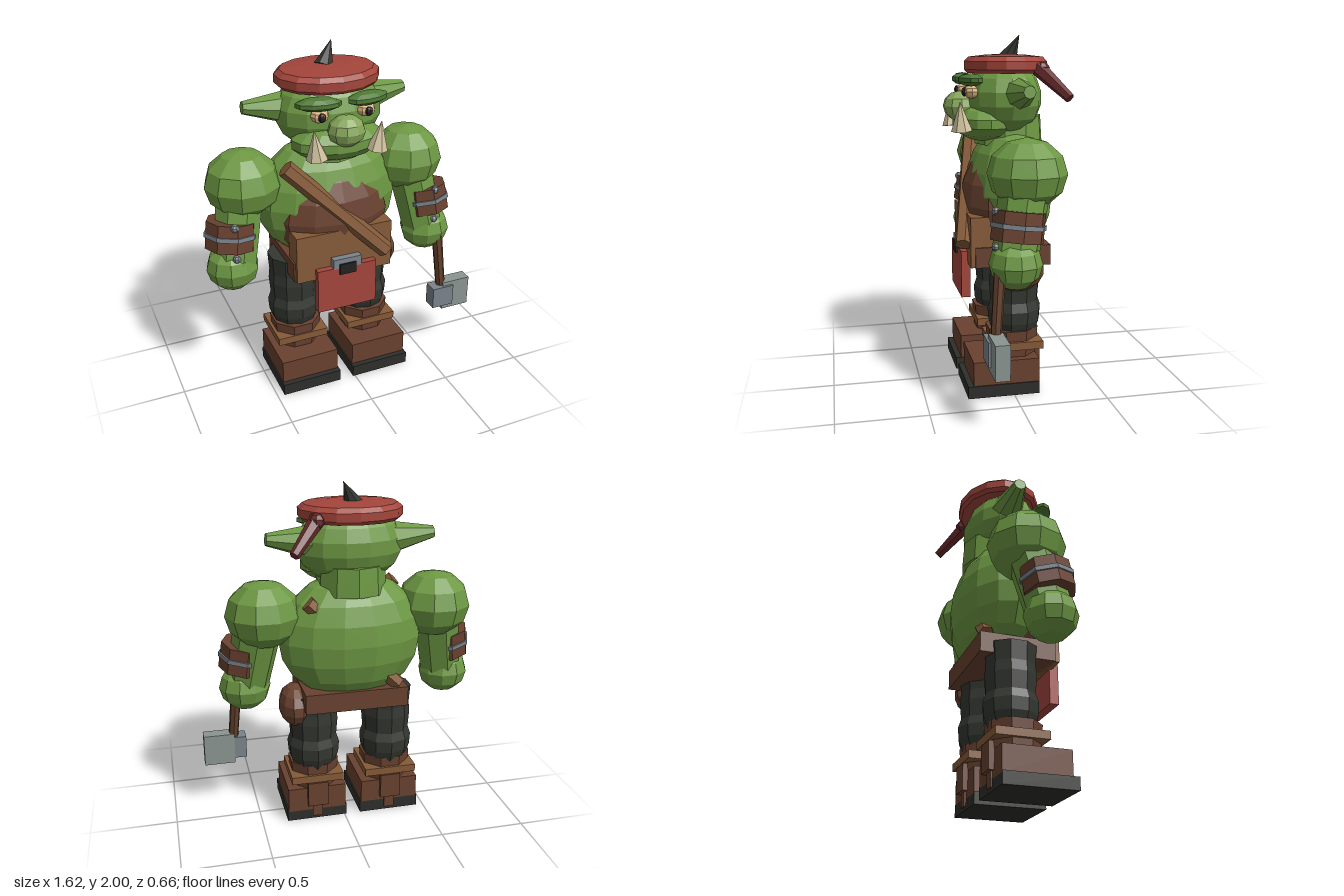
import * as THREE from 'three';

const mat = (color) => new THREE.MeshStandardMaterial({ color, flatShading: true });
const M = {
  skin: mat(0x6d9843), brow: mat(0x4f7a35), nose: mat(0x86a65a), dark: mat(0x343731),
  brown: mat(0x69412f), hide: mat(0x6b4331), tan: mat(0x855a38), wood: mat(0x63402c),
  red: mat(0xa3453b), darkRed: mat(0x692a2b), bone: mat(0xd2c3a0), eye: mat(0xd9b27c),
  black: mat(0x222222), sole: mat(0x2e2e2b), steel: mat(0x7b838b), iron: mat(0x8b9591),
};

export function createModel() {
  const root = new THREE.Group();
  root.name = 'ogreWarrior';
  const body = new THREE.Group();
  body.name = 'body';
  body.position.x = -0.055;
  root.add(body);

  const add = (name, geo, material, p = [0, 0, 0], r = [0, 0, 0]) => {
    const m = new THREE.Mesh(geo, material);
    m.name = name;
    m.position.set(...p);
    m.rotation.set(...r);
    body.add(m);
    return m;
  };
  const ball = (name, material, p, s, ws = 10, hs = 6, r) =>
    add(name, new THREE.SphereGeometry(1, ws, hs).scale(...s), material, p, r);
  // Box given by its lower and upper corners
  const box = (name, material, a, b) =>
    add(name, new THREE.BoxGeometry(b[0] - a[0], b[1] - a[1], b[2] - a[2]), material,
      a.map((v, i) => (v + b[i]) / 2));
  // Tapered rod from point a (radius ra) to point b (radius rb)
  const rod = (name, material, a, b, ra, rb, sides = 8) => {
    const A = new THREE.Vector3(...a), B = new THREE.Vector3(...b);
    const d = B.clone().sub(A);
    const m = add(name, new THREE.CylinderGeometry(rb, ra, d.length(), sides), material,
      A.clone().add(B).multiplyScalar(0.5).toArray());
    m.quaternion.setFromUnitVectors(new THREE.Vector3(0, 1, 0), d.normalize());
    return m;
  };
  const lathe = (pts, sides) =>
    new THREE.LatheGeometry(pts.map(([x, y]) => new THREE.Vector2(x, y)), sides);

  // Torso, chest hide and neck
  ball('torso', M.skin, [0, 1.12, -0.05], [0.42, 0.38, 0.245], 14, 10);
  ball('chestHide', M.hide, [0, 1.05, 0.02], [0.345, 0.32, 0.215], 12, 8);
  add('neck', new THREE.CylinderGeometry(0.19, 0.2, 0.16, 10), M.skin, [0, 1.47, -0.05]);

  // Belt, apron, loincloth and buckle
  box('belt', M.brown, [-0.3, 0.725, -0.23], [0.3, 0.84, 0.2]);
  box('apron', M.tan, [-0.29, 0.725, 0.1], [0.29, 1.01, 0.225]);
  box('loincloth', M.red, [-0.18, 0.525, 0.21], [0.18, 0.795, 0.262]);
  box('buckle', M.steel, [-0.085, 0.79, 0.2], [0.085, 0.85, 0.265]);
  box('buckleTongue', M.black, [-0.05, 0.755, 0.22], [0.05, 0.82, 0.275]);
  ball('pouch', M.hide, [0.33, 0.715, -0.035], [0.095, 0.125, 0.15], 10, 7);

  // Shoulder straps across chest and back
  rod('chestStrap', M.tan, [-0.305, 1.395, 0.12], [0.24, 0.85, 0.26], 0.05, 0.05, 6);
  rod('backStrap', M.tan, [0.27, 1.36, -0.16], [-0.25, 0.85, -0.18], 0.045, 0.045, 6);

  // Head and jaw
  ball('head', M.skin, [0, 1.65, -0.015], [0.305, 0.225, 0.22], 14, 9);
  ball('jaw', M.skin, [0, 1.515, 0.1], [0.265, 0.11, 0.175], 14, 7);
  ball('nose', M.nose, [0, 1.605, 0.235], [0.105, 0.085, 0.095], 10, 6);

  // Cap with spike and knotted tail
  add('cap', lathe([[0, 1.785], [0.93, 1.79], [1, 1.81], [1, 1.855], [0.9, 1.88], [0.45, 1.892], [0, 1.895]], 14)
    .scale(0.293, 1, 0.237), M.red, [0, 0, -0.03]);
  rod('capSpike', M.dark, [-0.01, 1.875, -0.05], [0.055, 2, -0.1], 0.055, 0.001, 7);
  rod('capTail', M.darkRed, [0.21, 1.82, -0.17], [0.365, 1.66, -0.31], 0.045, 0.027, 6);
  ball('capKnot', M.darkRed, [0.22, 1.81, -0.19], [0.045, 0.045, 0.045], 7, 5);

  for (const s of [-1, 1]) {
    // Face
    rod('ear', M.skin, [s * 0.2, 1.675, -0.05], [s * 0.475, 1.7, -0.06], 0.1, 0.035, 8);
    ball('eye', M.eye, [s * 0.133, 1.69, 0.19], [0.052, 0.038, 0.045], 8, 6);
    ball('pupil', M.black, [s * 0.133, 1.69, 0.228], [0.022, 0.026, 0.016], 8, 6);
    ball('glint', M.bone, [s * 0.133 + 0.008, 1.7, 0.242], [0.005, 0.005, 0.004], 5, 4);
    ball('brow', M.brow, [s * 0.14, 1.755, 0.195], [0.13, 0.036, 0.062], 10, 5, [0, s * 0.2, 0]);
    rod('tusk', M.bone, [s * 0.173, 1.48, 0.25], [s * 0.192, 1.637, 0.262], 0.06, 0.002, 7);

    // Arm
    ball('shoulder', M.skin, [s * 0.5, 1.28, -0.04], [0.215, 0.192, 0.215], 10, 6);
    rod('arm', M.skin, [s * 0.52, 1.25, -0.03], [s * 0.59, 0.85, 0.045], 0.14, 0.125, 8);
    ball('hand', M.skin, [s * 0.608, 0.825, 0.045], [0.15, 0.136, 0.143], 10, 6);
    rod('armband', M.brown, [s * 0.594, 1.1, 0.02], [s * 0.614, 0.945, 0.04], 0.14, 0.143, 8);
    rod('armbandStrap', M.steel, [s * 0.602, 1.037, 0.028], [s * 0.605, 1.012, 0.031], 0.151, 0.151, 8);
    for (const y of [1.11, 0.92])
      ball('stud', M.steel, [s * 0.61, y, 0.15], [0.023, 0.023, 0.023], 7, 5);

    // Trouser leg with folds
    add('trouserLeg', lathe([[0, 0.33], [0.125, 0.33], [0.15, 0.4], [0.155, 0.47], [0.138, 0.52],
      [0.146, 0.62], [0.14, 0.68], [0.148, 0.79], [0, 0.79]], 10), M.dark, [s * 0.223, 0, -0.035]);

    // Boot
    const x = s * 0.223;
    add('bootCuff', new THREE.CylinderGeometry(0.153, 0.14, 0.17, 8, 1, false, Math.PI / 8), M.brown, [x, 0.275, -0.02]);
    box('bootStrap', M.tan, [x - 0.155, 0.255, -0.172], [x + 0.155, 0.3, 0.125]);
    box('boot', M.brown, [x - 0.174, 0.06, -0.145], [x + 0.174, 0.207, 0.232]);
    box('sole', M.sole, [x - 0.181, 0, -0.145], [x + 0.181, 0.07, 0.264]);
    box('heelTab', M.brown, [x - 0.06, 0.1, -0.175], [x + 0.06, 0.25, -0.1]);
    box('heelPost', M.brown, [x - 0.03, 0.02, -0.155], [x + 0.03, 0.12, -0.1]);
  }

  // Hammer held in the left hand
  rod('hammerHandle', M.wood, [0.645, 0.84, 0.135], [0.685, 0.38, 0.17], 0.033, 0.029, 7);
  box('hammerFace', M.steel, [0.605, 0.32, 0.13], [0.745, 0.455, 0.218]);
  box('hammerBlock', M.iron, [0.677, 0.29, 0.127], [0.86, 0.48, 0.205]);
  return root;
}
